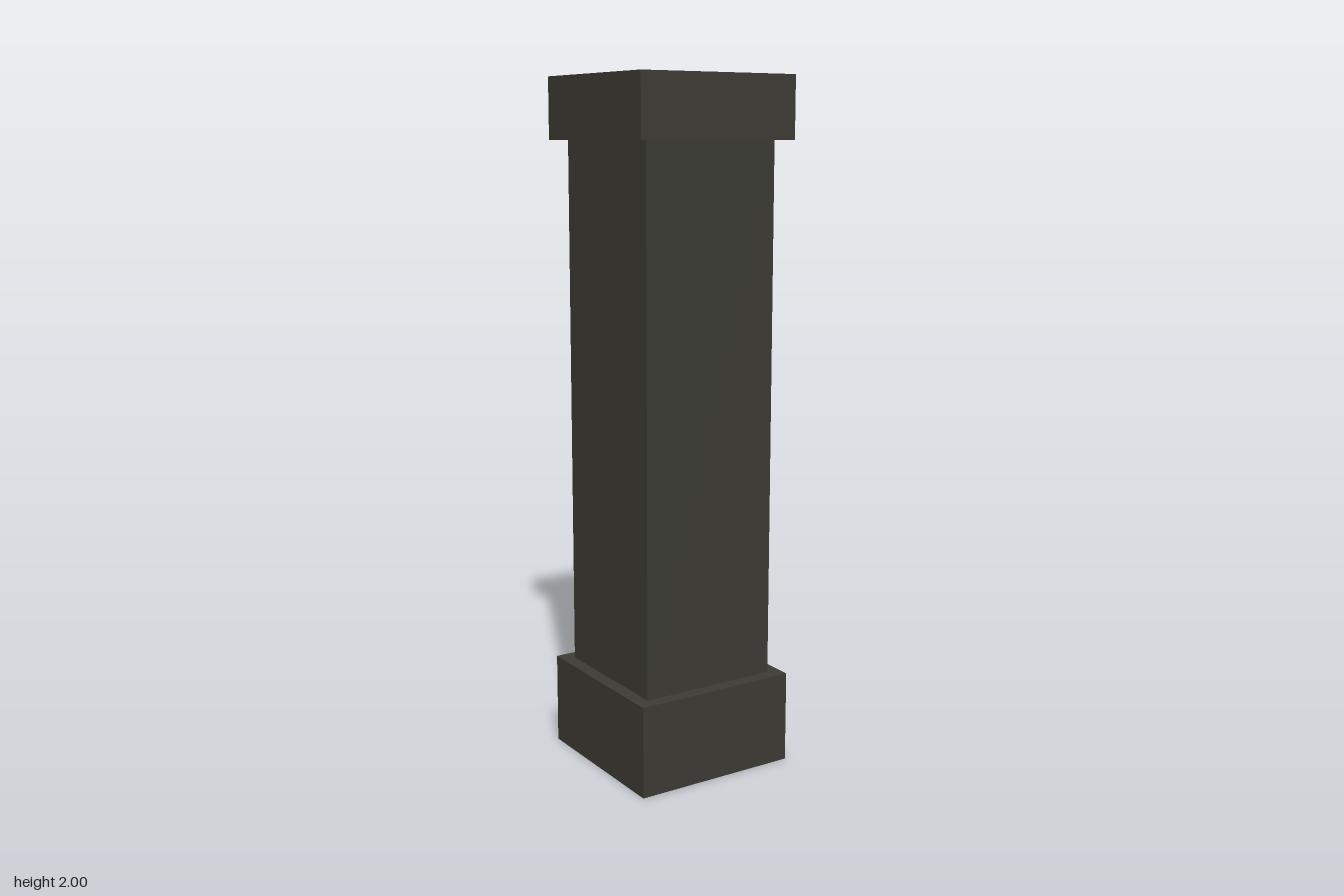
import * as THREE from 'three';

export function createModel() {
  const model = new THREE.Group();
  model.name = 'pillar';

  const darkStone = new THREE.MeshStandardMaterial({ color: 0x3c3b34 });
  darkStone.name = 'dark stone';

  // Square block spanning two heights
  function addBlock(name, width, bottom, top) {
    const mesh = new THREE.Mesh(new THREE.BoxGeometry(width, top - bottom, width), darkStone);
    mesh.name = name;
    mesh.position.y = (bottom + top) / 2;
    model.add(mesh);
  }

  addBlock('base', 0.5, 0, 0.27);
  addBlock('shaft', 0.42, 0.27, 1.823);
  addBlock('cap', 0.5, 1.823, 2);

  return model;
}
